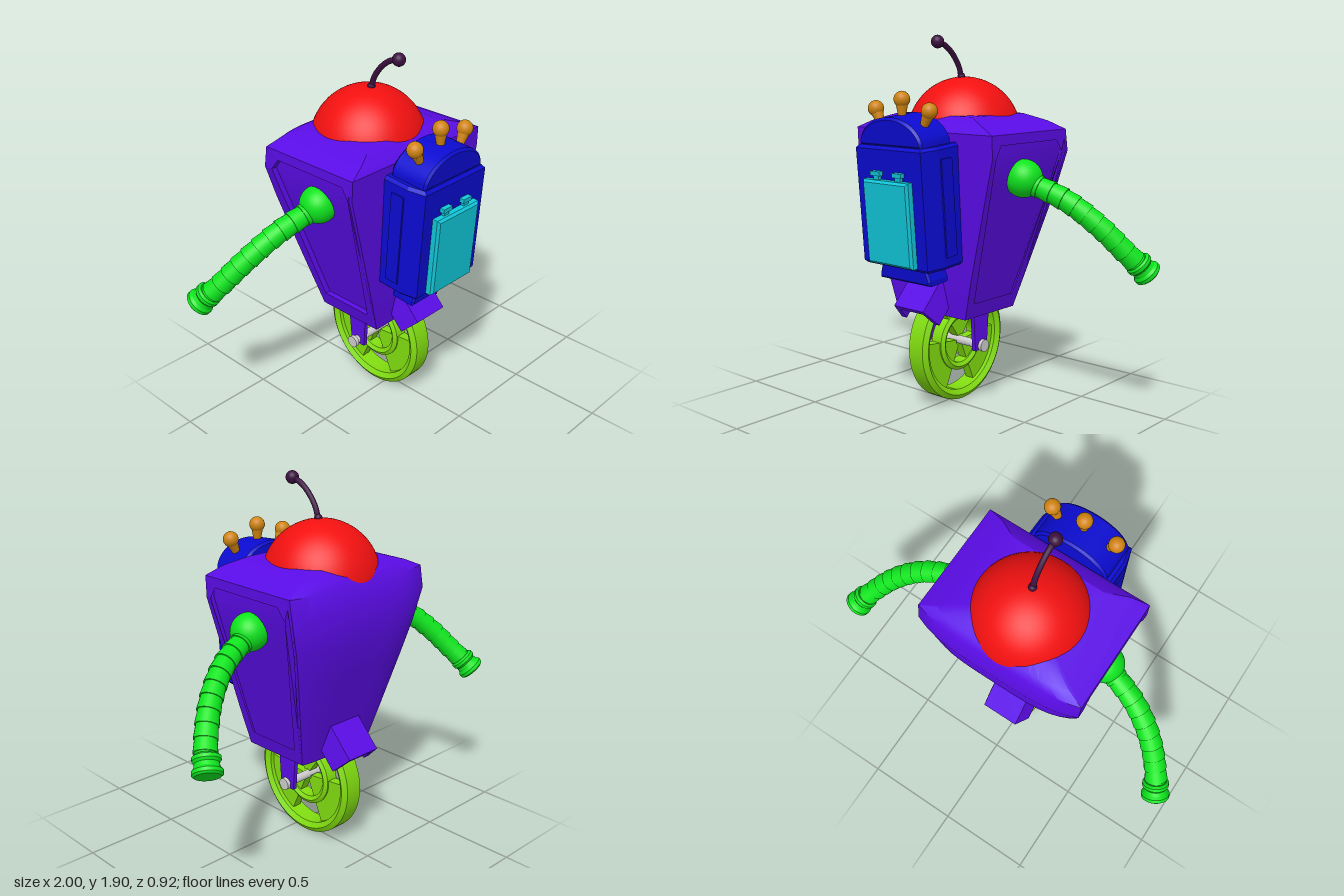
import * as THREE from 'three';
import { toCreasedNormals } from 'three/addons/utils/BufferGeometryUtils.js';

const mat = (color) => new THREE.MeshStandardMaterial({ color });
const V = (x, y, z) => new THREE.Vector3(x, y, z);

// Body levels: y, half width, front z, side-back z, centre-back z, side recess depth
const D = 0.03;
const LEVELS = [
  [0.66, 0.19, 0.10, -0.20, -0.22, 0], [0.50, 0.205, 0.11, -0.24, -0.25, 0],
  [0.50, 0.235, 0.135, -0.25, -0.265, D], [0.70, 0.287, 0.155, -0.295, -0.315, D],
  [1.00, 0.366, 0.175, -0.36, -0.41, D], [1.15, 0.405, 0.185, -0.39, -0.445, D],
  [1.32, 0.45, 0.195, -0.41, -0.46, D], [1.43, 0.45, 0.20, -0.39, -0.425, D],
  [1.43, 0.45, 0.20, -0.39, -0.425, 0], [1.47, 0.36, 0.17, -0.36, -0.40, 0],
  [1.505, 0.25, 0.11, -0.30, -0.34, 0],
];
const halfWidth = (y) => Math.min(0.45, 0.235 + (y - 0.5) * 0.2622);

// Shell lofted through the levels, with hollow underside and shallow side recesses
function bodyShell() {
  const pos = [], idx = [];
  let n = 0;
  for (const [y, w, zf, zs, zb, d] of LEVELS) {
    const half = [];
    for (let i = 0; i <= 8; i++) half.push([w * i / 8, zb + (zs - zb) * (i / 8) ** 4]);
    half.push([w, zs + 0.02], [w - d, zs + 0.02], [w - d, zf - 0.02], [w, zf - 0.02], [w, zf], [0, zf]);
    const ring = half.concat(half.slice(1, -1).reverse().map(([x, z]) => [-x, z]));
    n = ring.length;
    ring.forEach(([x, z]) => pos.push(x, y, z));
  }
  const last = LEVELS.length - 1;
  for (let l = 0; l < last; l++) for (let i = 0; i < n; i++) {
    const a = l * n + i, b = l * n + (i + 1) % n;
    idx.push(a, a + n, b, b, a + n, b + n);
  }
  const c = pos.length / 3;
  pos.push(0, 0.66, -0.05, 0, 1.51, -0.1);
  for (let i = 0; i < n; i++) {
    const j = (i + 1) % n;
    idx.push(c, i, j, c + 1, last * n + j, last * n + i);
  }
  const g = new THREE.BufferGeometry();
  g.setAttribute('position', new THREE.Float32BufferAttribute(pos, 3));
  g.setIndex(idx);
  return toCreasedNormals(g, 0.5);
}

// Raised border around the side recess, leaning with the body wall
function sideFrame(s) {
  const lv = LEVELS.slice(2, 8);
  const pt = ([z, y]) => new THREE.Vector2(-s * z, y);
  const outer = lv.map((l) => [l[2], l[0]]).concat(lv.map((l) => [l[3], l[0]]).reverse());
  const hole = [[0.09, 0.58], [0.165, 1.32], [0.13, 1.38], [-0.31, 1.38], [-0.36, 1.32], [-0.215, 0.58]];
  const shape = new THREE.Shape(outer.map(pt));
  shape.holes.push(new THREE.Path(hole.map(pt)));
  const g = new THREE.ExtrudeGeometry(shape, { depth: D, bevelEnabled: false });
  const p = g.attributes.position;
  for (let i = 0; i < p.count; i++) {
    const x = p.getX(i), y = p.getY(i), t = p.getZ(i);
    p.setXYZ(i, s * (halfWidth(y) - D + t), y, -s * x);
  }
  g.computeVertexNormals();
  return g;
}

const poly = (pts) => new THREE.Shape(pts.map(([x, y]) => new THREE.Vector2(x, y)));

// Extrusion with optional bevel kept inside the outline
function extrude(shape, depth, bevel = 0) {
  const g = new THREE.ExtrudeGeometry(shape, {
    depth: depth - 2 * bevel, bevelEnabled: bevel > 0, bevelSize: bevel, bevelOffset: -bevel,
    bevelThickness: bevel, bevelSegments: 1, curveSegments: 24,
  });
  return g.translate(0, 0, bevel);
}

const lathe = (pts, seg = 48) =>
  toCreasedNormals(new THREE.LatheGeometry(pts.map(([x, y]) => new THREE.Vector2(x, y)), seg), 0.5);

export function createModel() {
  const model = new THREE.Group();
  const main = new THREE.Group();
  main.name = 'mainAssembly';
  main.position.x = -0.01;
  model.add(main);
  const purple = mat(0x5a0ce6), blue = mat(0x0b0bd0), cyan = mat(0x10c6d8), red = mat(0xf21010);
  const green = mat(0x0ee41e), lime = mat(0x80dc10), orange = mat(0xd08410), plum = mat(0x3c1040), grey = mat(0xcccccc);
  const add = (name, geo, material, parent = main, x = 0, y = 0, z = 0) => {
    const m = new THREE.Mesh(geo, material);
    m.name = name;
    m.position.set(x, y, z);
    parent.add(m);
    return m;
  };

  // Body, side frames and axle forks
  add('body', bodyShell(), purple);
  for (const s of [-1, 1]) {
    add('sideFrame', sideFrame(s), purple);
    const fork = extrude(poly([[-0.045, 0.29], [0.045, 0.29], [0.065, 0.56], [-0.065, 0.56]]), 0.022);
    add('axleFork', fork.rotateY(Math.PI / 2), purple, main, s * 0.158 - 0.011, 0, -0.07);
  }

  // Fenders: hollow sleeves sloping out over the wheel, front and back
  for (const turn of [0, Math.PI]) {
    const pivot = new THREE.Group();
    pivot.name = turn ? 'backFender' : 'frontFender';
    pivot.position.z = -0.075;
    pivot.rotation.y = turn;
    main.add(pivot);
    const section = poly([[-0.13, -0.117], [-0.1, 0], [0.1, 0], [0.13, -0.117], [0.095, -0.117], [0.078, -0.03], [-0.078, -0.03], [-0.095, -0.117]]);
    add('fenderShell', extrude(section, 0.25).translate(0, 0, -0.25), purple, pivot, 0, 0.55, 0.37).rotation.x = 0.82;
  }

  // Wheel with three broad spokes
  const wheel = new THREE.Group();
  wheel.name = 'wheel';
  wheel.position.set(0, 0.315, -0.07);
  main.add(wheel);
  const ring = (ri, ro, h) => {
    const m = (ri + ro) / 2, k = h * 0.72;
    return lathe([[ri, -k], [m, -h], [ro, -k], [ro, k], [m, h], [ri, k], [ri, -k]], 64).rotateZ(Math.PI / 2);
  };
  add('rim', ring(0.262, 0.315, 0.064), lime, wheel);
  add('hubRing', ring(0.12, 0.16, 0.045), lime, wheel);
  for (let i = 0; i < 3; i++) {
    const a = Math.PI / 2 + i * Math.PI * 2 / 3, h = Math.PI / 5;
    const s = new THREE.Shape();
    s.absarc(0, 0, 0.272, a - h, a + h, false);
    s.absarc(0, 0, 0.03, a + h, a - h, true);
    add('spoke', extrude(s, 0.05).translate(0, 0, -0.025).rotateY(Math.PI / 2), lime, wheel);
  }
  const rod = (r, len) => new THREE.CylinderGeometry(r, r, len, 24).rotateZ(Math.PI / 2);
  add('axle', rod(0.022, 0.38), grey, wheel, -0.008);
  for (const s of [-1, 1]) add('axleCap', rod(0.032, 0.02), grey, wheel, -0.008 + s * 0.193);

  // Dome and curved antenna
  add('dome', new THREE.SphereGeometry(0.294, 48, 32), red, main, -0.005, 1.395, -0.133);
  const stalk = new THREE.CatmullRomCurve3([V(0, 1.66, -0.11), V(0, 1.73, -0.095), V(0, 1.80, -0.045), V(0, 1.845, 0.015), V(0, 1.862, 0.07)]);
  add('antennaStalk', new THREE.TubeGeometry(stalk, 24, 0.014, 12), plum, main, -0.005);
  add('antennaTip', new THREE.SphereGeometry(0.033, 24, 16), plum, main, -0.005, 1.863, 0.07);
  add('antennaBase', new THREE.SphereGeometry(0.02, 16, 12), plum, main, -0.005, 1.69, -0.11);

  // Chest pack, leaning slightly forward
  const pack = new THREE.Group();
  pack.name = 'chestPack';
  pack.position.set(0, 1.08, 0.285);
  pack.rotation.x = 0.085;
  main.add(pack);
  const plan = poly([[-0.24, 0.13], [-0.24, -0.03], [-0.215, -0.125], [0.215, -0.125], [0.24, -0.03], [0.24, 0.13]]);
  add('packCase', extrude(plan, 0.6, 0.015).rotateX(-Math.PI / 2), blue, pack, 0, -0.3, 0);
  const arch = new THREE.Shape();
  arch.moveTo(-0.205, 0);
  arch.lineTo(-0.205, 0.03);
  arch.bezierCurveTo(-0.15, 0.18, 0.15, 0.18, 0.205, 0.03);
  arch.lineTo(0.205, 0);
  add('packArch', toCreasedNormals(extrude(arch, 0.215, 0.012), 0.5), blue, pack, 0, 0.295, -0.105);
  add('packFoot', extrude(poly([[-0.17, -0.085], [0.17, -0.085], [0.17, -0.06], [0.145, 0.01], [-0.145, 0.01], [-0.17, -0.06]]), 0.14, 0.01),
    blue, pack, 0, -0.3, -0.07);
  for (const s of [-1, 1])
    add('packSideRib', new THREE.BoxGeometry(0.02, 0.48, 0.075), blue, pack, s * 0.238, 0, -0.02);
  add('screen', extrude(poly([[-0.15, -0.21], [0.15, -0.21], [0.15, 0.21], [-0.15, 0.21]]), 0.06, 0.012), cyan, pack, 0, -0.07, 0.105);
  for (const s of [-1, 1]) {
    add('screenTabStem', new THREE.BoxGeometry(0.035, 0.03, 0.025), cyan, pack, s * 0.072, 0.15, 0.13);
    add('screenTab', new THREE.BoxGeometry(0.06, 0.022, 0.035), cyan, pack, s * 0.072, 0.17, 0.132);
  }

  // Three round knobs on top of the pack
  for (const k of [-1, 0, 1]) {
    const knob = new THREE.Group();
    knob.name = 'knob';
    knob.position.set(k * 0.178, k ? 1.54 : 1.59, 0.33);
    knob.rotation.z = -k * 0.45;
    main.add(knob);
    add('knobBall', new THREE.SphereGeometry(0.04, 24, 16), orange, knob);
    add('knobStem', new THREE.CylinderGeometry(0.031, 0.018, 0.07, 20), orange, knob, 0, -0.05, 0);
  }

  // Arms: shoulder ball, ribbed segments and flared cuff
  const up = V(0, 1, 0);
  for (const s of [-1, 1]) {
    const arm = new THREE.Group();
    arm.name = s > 0 ? 'leftArm' : 'rightArm';
    model.add(arm);
    add('shoulder', new THREE.SphereGeometry(0.095, 32, 24), green, arm, s * 0.41, 1.205, -0.085);
    const path = new THREE.CatmullRomCurve3([V(s * 0.43, 1.19, -0.09), V(s * 0.62, 1.11, -0.145),
      V(s * 0.765, 0.99, -0.22), V(s * 0.88, 0.84, -0.32), V(s * 0.92, 0.78, -0.375)]);
    const N = 11;
    for (let i = 0; i < N; i++) {
      const a = path.getPointAt(i / N), b = path.getPointAt((i + 1) / N), dir = b.clone().sub(a);
      const seg = add('armSegment', new THREE.CylinderGeometry(0.057, 0.05, dir.length() + 0.012, 24), green, arm);
      seg.position.copy(a).add(b).multiplyScalar(0.5);
      seg.quaternion.setFromUnitVectors(up, dir.normalize());
    }
    const cuff = add('cuff', lathe([[0, -0.045], [0.055, -0.045], [0.066, -0.035], [0.066, -0.018], [0.056, -0.006],
      [0.06, 0.015], [0.071, 0.028], [0.071, 0.046], [0.06, 0.055], [0, 0.055]], 32), green, arm, s * 0.916, 0.785, -0.372);
    cuff.quaternion.setFromUnitVectors(up, V(s * 0.4, -0.72, -0.57).normalize());
  }
  return model;
}
